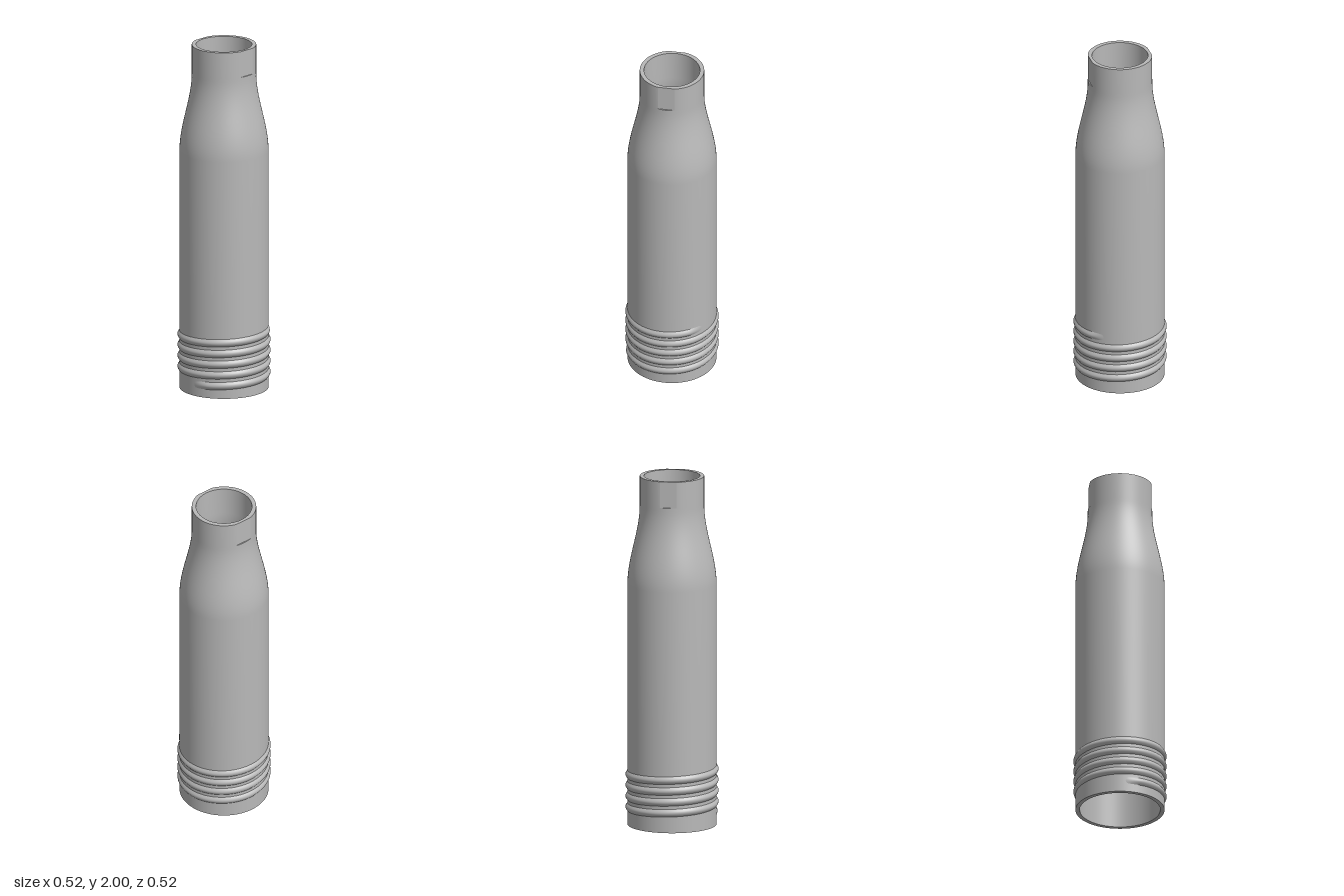
import * as THREE from 'three';
import { toCreasedNormals } from 'three/addons/utils/BufferGeometryUtils.js';

const BODY_R = 0.25, NECK_R = 0.181, WALL = 0.024;
const FLAT_X = 0.174, FLAT_Y = 1.85;

// Radius of the outer wall: straight body, S-curved shoulder, straight neck
const outerRadius = (y) =>
  BODY_R - (BODY_R - NECK_R) * THREE.MathUtils.smoothstep(y, 1.38, 1.83);

// Hollow tube with open ends and two shallow flats on the neck
function tubeGeometry() {
  const shoulder = [];
  for (let i = 0; i <= 24; i++) shoulder.push(1.38 + (0.45 * i) / 24);
  const points = [];
  const add = (r, y) => points.push(new THREE.Vector2(r, y));
  add(BODY_R - WALL, 0);
  add(BODY_R, 0);
  shoulder.forEach((y) => add(outerRadius(y), y));
  add(NECK_R, FLAT_Y);
  add(NECK_R, FLAT_Y + 0.0002);
  add(NECK_R, 2);
  add(NECK_R - WALL, 2);
  [...shoulder].reverse().forEach((y) => add(outerRadius(y) - WALL, y));
  add(BODY_R - WALL, 0);

  const geometry = new THREE.LatheGeometry(points, 120);
  const p = geometry.attributes.position;
  for (let i = 0; i < p.count; i++) {
    if (p.getY(i) > FLAT_Y + 0.0001) {
      p.setX(i, THREE.MathUtils.clamp(p.getX(i), -FLAT_X, FLAT_X));
    }
  }
  // Enlarged while creasing so close vertices stay distinct
  geometry.scale(100, 100, 100);
  return toCreasedNormals(geometry, 0.15).scale(0.01, 0.01, 0.01);
}

// Rounded helical ridge that fades into the wall at both ends
function threadGeometry() {
  const turns = 4.4, pitch = 0.0625, startY = 0.067;
  const steps = 440, across = 10, halfWidth = 0.023, height = 0.0125;
  const positions = [], indices = [];
  for (let i = 0; i <= steps; i++) {
    const turn = (turns * i) / steps;
    const angle = turn * Math.PI * 2;
    const fade = Math.min(1, turn / 0.06, (turns - turn) / 0.06);
    for (let j = 0; j <= across; j++) {
      const u = (2 * j) / across - 1;
      const r = BODY_R - 0.001 + height * fade * Math.cos((u * Math.PI) / 2);
      positions.push(
        r * Math.sin(angle),
        startY + pitch * turn + u * halfWidth,
        r * Math.cos(angle)
      );
      if (i < steps && j < across) {
        const a = i * (across + 1) + j, b = a + across + 1;
        indices.push(a, b, a + 1, b + 1, a + 1, b);
      }
    }
  }
  const geometry = new THREE.BufferGeometry();
  geometry.setAttribute('position', new THREE.Float32BufferAttribute(positions, 3));
  geometry.setIndex(indices);
  geometry.computeVertexNormals();
  return geometry;
}

export function createModel() {
  const group = new THREE.Group();
  group.name = 'threadedTube';
  const grey = new THREE.MeshStandardMaterial({ color: 0xb8b8b8 });
  grey.name = 'grey';

  const tube = new THREE.Mesh(tubeGeometry(), grey);
  tube.name = 'tubeBody';
  const thread = new THREE.Mesh(threadGeometry(), grey);
  thread.name = 'screwThread';
  group.add(tube, thread);
  return group;
}
